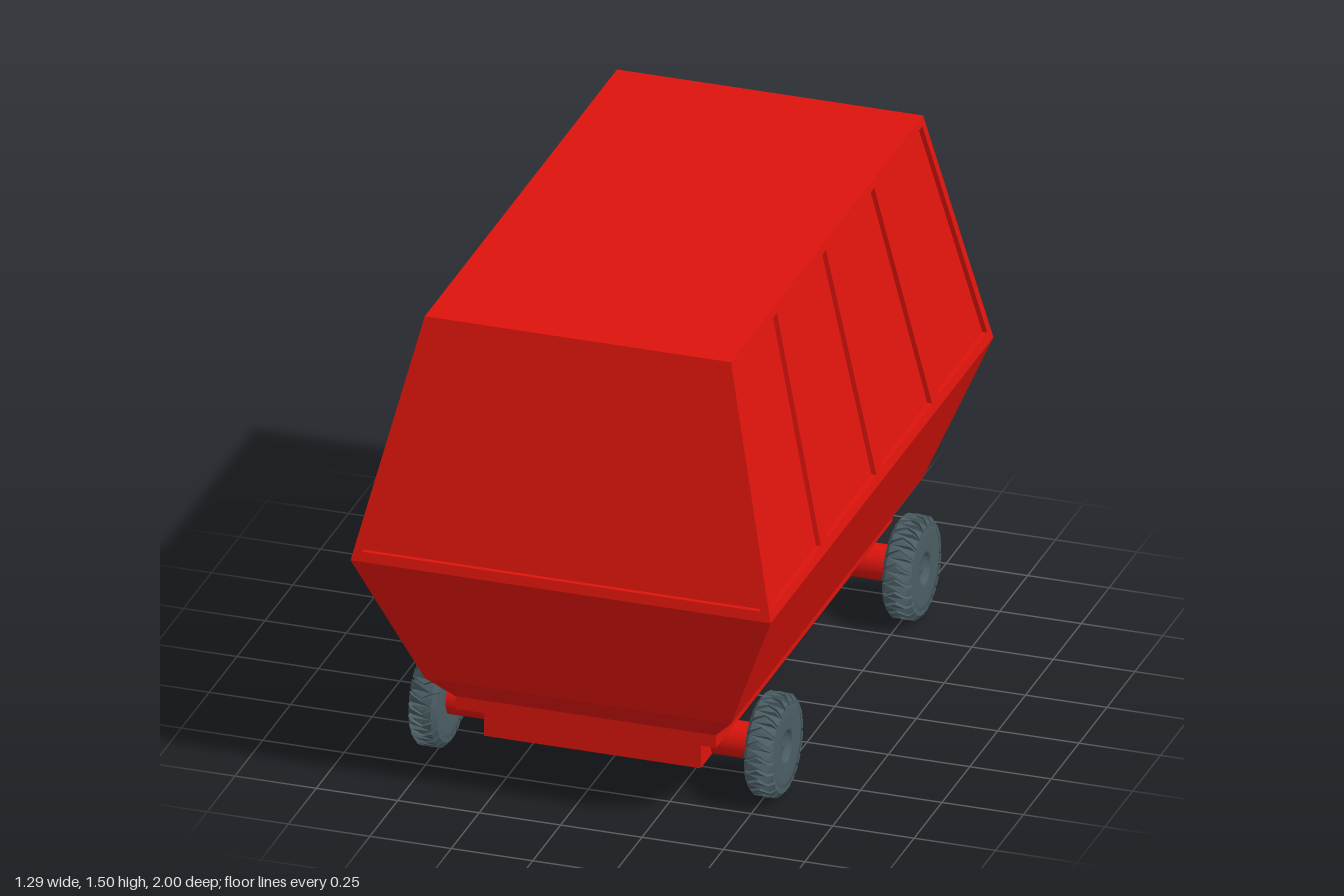
import * as THREE from 'three';

const red = new THREE.MeshStandardMaterial({ color: 0xdc140c });
const rubber = new THREE.MeshStandardMaterial({ color: 0x4a5d63 });

// Body levels: height, half width, front z, back z
const ROOF = [1.5, 0.47, 0.845, -0.88];
const BELT = [0.755, 0.645, 1, -1];
const SKIRT = [0.33, 0.47, 0.845, -0.88];
const FLOOR = [0.25, 0.4, 0.775, -0.81];
const DEPTH = 0.015; // window recess

function add(parent, name, geometry, material = red) {
  const mesh = new THREE.Mesh(geometry, material);
  mesh.name = name;
  parent.add(mesh);
  return mesh;
}

function box(parent, name, x0, x1, y0, y1, z0, z1) {
  const mesh = add(parent, name, new THREE.BoxGeometry(x1 - x0, y1 - y0, z1 - z0));
  mesh.position.set((x0 + x1) / 2, (y0 + y1) / 2, (z0 + z1) / 2);
}

function flat(geometry) {
  const g = geometry.index ? geometry.toNonIndexed() : geometry;
  g.computeVertexNormals();
  return g;
}

// Closed shell through rectangles listed from bottom to top
function loft(levels) {
  const pos = [], idx = [];
  for (const [y, w, f, b] of levels) pos.push(-w, y, f, w, y, f, w, y, b, -w, y, b);
  for (let k = 0; k < levels.length - 1; k++) {
    for (let i = 0; i < 4; i++) {
      const a = k * 4 + i, c = k * 4 + (i + 1) % 4;
      idx.push(a, c, c + 4, a, c + 4, a + 4);
    }
  }
  const t = (levels.length - 1) * 4;
  idx.push(0, 2, 1, 0, 3, 2, t, t + 1, t + 2, t, t + 2, t + 3);
  const g = new THREE.BufferGeometry();
  g.setAttribute('position', new THREE.Float32BufferAttribute(pos, 3));
  g.setIndex(idx);
  return flat(g);
}

// Window frame: outline and openings are [bottom u0, bottom u1, top u0, top u1];
// place(u, y, inset) leans the flat frame onto its sloping wall
function frame(outline, openings, place) {
  const quad = ([a, b, c, d], y0, y1) =>
    [[a, y0], [b, y0], [d, y1], [c, y1]].map(p => new THREE.Vector2(...p));
  const shape = new THREE.Shape(quad(outline, BELT[0], ROOF[0]));
  for (const o of openings) shape.holes.push(new THREE.Path(quad(o, 0.785, 1.477)));
  const g = new THREE.ExtrudeGeometry(shape, { depth: DEPTH, bevelEnabled: false });
  const p = g.attributes.position;
  for (let i = 0; i < p.count; i++) {
    p.setXYZ(i, ...place(p.getX(i), p.getY(i), DEPTH - p.getZ(i)));
  }
  return flat(g);
}

const wall = (y, k) => THREE.MathUtils.mapLinear(y, BELT[0], ROOF[0], BELT[k], ROOF[k]);

function makeBody() {
  const body = new THREE.Group();
  body.name = 'body';
  add(body, 'lowerHull', loft([FLOOR, SKIRT, BELT]));
  const inset = ([y, w, f, b]) => [y, w - DEPTH, f - DEPTH, b + DEPTH];
  add(body, 'windowPanes', loft([inset(BELT), inset(ROOF)]));

  // End walls with one large window each
  const endOutline = [-BELT[1], BELT[1], -ROOF[1], ROOF[1]];
  const endOpening = [[-0.61, 0.61, -0.45, 0.45]];
  add(body, 'frontWindowFrame', frame(endOutline, endOpening,
    (u, y, d) => [u, y, wall(y, 2) - d]));
  add(body, 'backWindowFrame', frame(endOutline, endOpening,
    (u, y, d) => [-u, y, wall(y, 3) + d]));

  // Side walls with four leaning windows, given as z values
  const outline = [BELT[3], BELT[2], ROOF[3], ROOF[2]];
  const openings = [
    [0.528, 0.966, 0.448, 0.83],
    [0.03, 0.47, 0.008, 0.389],
    [-0.47, -0.028, -0.426, -0.043],
    [-0.965, -0.528, -0.857, -0.48],
  ];
  const flip = ([a, b, c, d]) => [-b, -a, -d, -c];
  add(body, 'rightWindowFrame', frame(outline, openings,
    (u, y, d) => [-wall(y, 1) + d, y, u]));
  add(body, 'leftWindowFrame', frame(flip(outline), openings.map(flip),
    (u, y, d) => [wall(y, 1) - d, y, -u]));
  return body;
}

// Wheel around the x axis, outer face towards +x
function makeWheel() {
  const wheel = new THREE.Group();
  wheel.name = 'wheel';
  const side = [[0, 0.03], [0.013, 0.03], [0.015, 0.024], [0.042, 0.024],
    [0.045, 0.04], [0.055, 0.042], [0.11, 0.044], [0.132, 0.04], [0.143, 0.028], [0.146, 0]];
  const profile = [
    ...side.map(([r, a]) => [r, -a]),
    ...side.slice(0, -1).reverse(),
  ].map(p => new THREE.Vector2(...p));
  const tire = add(wheel, 'tire', new THREE.LatheGeometry(profile, 40), rubber);
  tire.rotation.z = -Math.PI / 2;

  // Chevron tread blocks bent over the tire shoulders
  const xs = [-0.044, -0.03, 0, 0.03, 0.044];
  const skew = x => 0.011 - Math.abs(x) * 0.5;
  const edge = (list, off) => list.map(x => new THREE.Vector2(x, skew(x) + off));
  const block = new THREE.ExtrudeGeometry(
    new THREE.Shape([...edge(xs, -0.014), ...edge([...xs].reverse(), 0.014)]),
    { depth: 0.014, bevelEnabled: false });
  const p = block.attributes.position;
  for (let i = 0; i < p.count; i++) {
    const drop = Math.max(0, Math.abs(p.getX(i)) - 0.03) * 1.2;
    p.setZ(i, p.getZ(i) + 0.14 - drop);
  }
  block.computeVertexNormals();
  const count = 24;
  for (let i = 0; i < count; i++) {
    add(wheel, 'treadBlock', block, rubber).rotation.x = i / count * Math.PI * 2;
  }
  return wheel;
}

export function createModel() {
  const model = new THREE.Group();
  model.name = 'wagon';
  model.add(makeBody());

  // Undercarriage
  box(model, 'platform', -0.4, 0.4, 0.21, 0.25, -0.81, 0.775);
  box(model, 'chassis', -0.333, 0.333, 0.105, 0.21, -0.71, 0.715);

  // Wheels with stub axles
  const axle = new THREE.CylinderGeometry(0.054, 0.054, 0.14, 32).rotateZ(Math.PI / 2);
  for (const z of [0.595, -0.645]) {
    for (const s of [1, -1]) {
      add(model, 'axle', axle).position.set(s * 0.41, 0.157, z);
      const wheel = makeWheel();
      wheel.position.set(s * 0.515, 0.156, z);
      if (s < 0) wheel.rotation.y = Math.PI;
      model.add(wheel);
    }
  }
  return model;
}
